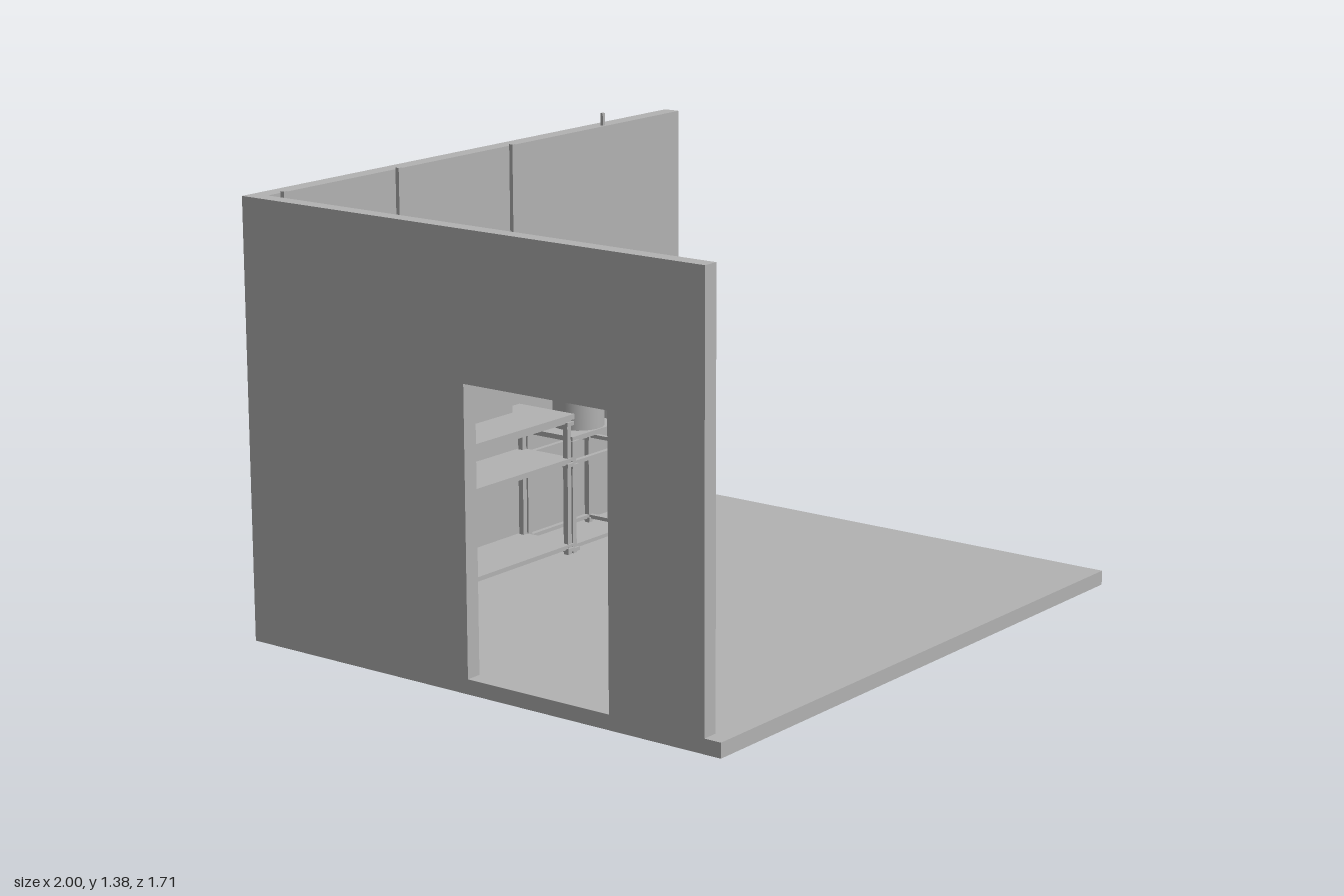
import * as THREE from 'three';

export function createModel() {
  const root = new THREE.Group();
  const grey = new THREE.MeshStandardMaterial({ color: 0xb2b2b2 });
  grey.name = 'plainGrey';

  const add = (parent, name, geometry) => {
    const mesh = new THREE.Mesh(geometry, grey);
    mesh.name = name;
    parent.add(mesh);
    return mesh;
  };
  // box given by its minimum and maximum corners
  const box = (parent, name, x0, x1, y0, y1, z0, z1) => {
    const mesh = add(parent, name, new THREE.BoxGeometry(x1 - x0, y1 - y0, z1 - z0));
    mesh.position.set((x0 + x1) / 2, (y0 + y1) / 2, (z0 + z1) / 2);
    return mesh;
  };
  const group = (name) => {
    const g = new THREE.Group();
    g.name = name;
    root.add(g);
    return g;
  };
  // side profile in (z, y), extruded towards -x
  const sideExtrude = (parent, name, points, depth, x) => {
    const shape = new THREE.Shape(points.map(([z, y]) => new THREE.Vector2(z, y)));
    const mesh = add(parent, name, new THREE.ExtrudeGeometry(shape, { depth, bevelEnabled: false }));
    mesh.rotation.y = -Math.PI / 2;
    mesh.position.x = x;
    return mesh;
  };

  // room shell
  const FLOOR = 0.045, TOP = 1.335;
  box(root, 'floor', -1, 1, 0, FLOOR, -0.855, 0.855);
  box(root, 'backWall', -1, 1, FLOOR, TOP, -0.855, -0.8);
  sideExtrude(root, 'doorWall', [
    [-0.8, FLOOR], [-0.03, FLOOR], [-0.03, 0.9], [0.475, 0.9],
    [0.475, FLOOR], [0.8, FLOOR], [0.8, TOP], [-0.8, TOP],
  ], 0.05, -0.95);

  // wall fittings
  box(root, 'wallCabinet', -0.95, -0.913, 0.785, 0.915, -0.53, -0.305);
  box(root, 'switchBox', -0.95, -0.917, 0.54, 0.62, -0.365, -0.3);
  box(root, 'wallHook', -0.95, -0.94, 0.556, 0.57, -0.42, -0.38);
  box(root, 'wallStub', 0.609, 0.621, TOP - 0.01, 1.375, -0.82, -0.81);
  box(root, 'wallPlate', 0.38, 0.5, 0.505, 0.575, -0.8, -0.793);

  // hanging shelf on three wall rails
  const shelf = group('wallShelf');
  box(shelf, 'shelfBoard', -0.895, 0.145, 0.93, 0.937, -0.79, -0.675);
  for (const x of [-0.89, -0.395, 0.135]) {
    box(shelf, 'wallRail', x - 0.008, x + 0.008, 0.73, 1.34, -0.8, -0.787);
    sideExtrude(shelf, 'bracket', [
      [-0.788, 0.885], [-0.782, 0.905], [-0.765, 0.92], [-0.67, 0.928],
      [-0.67, 0.938], [-0.76, 0.94], [-0.78, 0.95], [-0.788, 0.97],
    ], 0.012, x + 0.006);
  }

  // tube frame: legs at each x, rails at each height, collars at the joints
  const ZF = -0.592, ZB = -0.775, H = 0.009;
  const frame = (parent, xs, top, rails) => {
    const first = xs[0], last = xs[xs.length - 1];
    for (const x of xs) {
      for (const z of [ZF, ZB]) {
        box(parent, 'leg', x - H, x + H, FLOOR, top, z - H, z + H);
        for (const y of rails)
          box(parent, 'collar', x - 0.016, x + 0.016, y - 0.02, y - 0.008, z - 0.016, z + 0.016);
      }
      for (const y of rails)
        box(parent, 'crossRail', x - 0.008, x + 0.008, y - 0.012, y, ZB, ZF);
    }
    for (const y of rails) for (const z of [ZF, ZB])
      box(parent, 'longRail', first, last, y - 0.012, y, z - 0.008, z + 0.008);
  };

  // long workbench
  const bench = group('workbench');
  frame(bench, [-0.938, -0.395, 0.143], 0.485, [0.075, 0.352, 0.486]);
  box(bench, 'worktop', -0.95, 0.16, 0.485, 0.502, -0.798, -0.575);
  box(bench, 'middleShelf', -0.95, 0.155, 0.35, 0.36, -0.79, -0.578);
  box(bench, 'bottomShelf', -0.95, 0.155, 0.072, 0.08, -0.79, -0.578);
  box(bench, 'uprightPanel', -0.28, 0.055, 0.5, 0.73, -0.75, -0.74);

  // side table with one rounded corner
  const table = group('sideTable');
  frame(table, [0.168, 0.478], 0.421, [0.072, 0.345, 0.421]);
  const plate = new THREE.Shape();
  plate.moveTo(0.15, -0.798);
  plate.lineTo(0.61, -0.798);
  plate.lineTo(0.61, -0.685);
  plate.absarc(0.5, -0.685, 0.11, 0, Math.PI / 2, false);
  plate.lineTo(0.15, -0.575);
  plate.closePath();
  const tableTop = add(table, 'tableTop',
    new THREE.ExtrudeGeometry(plate, { depth: 0.008, bevelEnabled: false, curveSegments: 16 }));
  tableTop.rotation.x = Math.PI / 2;
  tableTop.position.y = 0.428;

  // two round pots
  for (const x of [0.291, 0.487]) {
    const pot = add(table, 'pot', new THREE.CylinderGeometry(0.083, 0.083, 0.113, 48));
    pot.position.set(x, 0.4845, -0.664);
  }

  return root;
}
